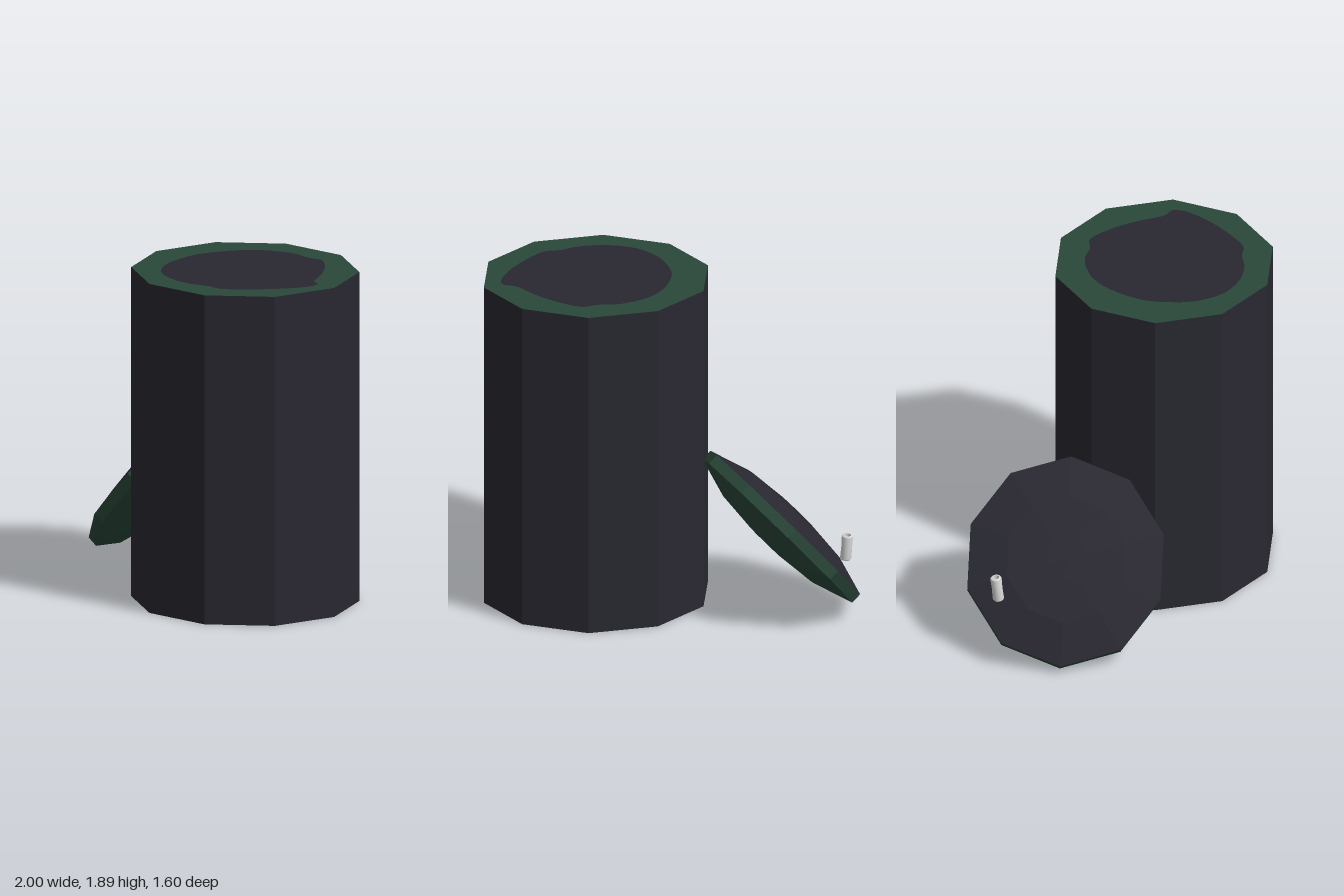
import * as THREE from 'three';

const mat = (name, color) => {
  const m = new THREE.MeshStandardMaterial({ color });
  m.name = name;
  return m;
};

// Separate the faces so that every facet gets its own normal
const faceted = (geometry) => {
  const g = geometry.index ? geometry.toNonIndexed() : geometry;
  g.computeVertexNormals();
  return g;
};

const lathe = (profile, sides) =>
  new THREE.LatheGeometry(profile.map(([r, y]) => new THREE.Vector2(r, y)), sides, Math.PI / 2);

export function createModel() {
  const dark = mat('dark charcoal', 0x292831);
  const green = mat('deep green', 0x2a4839);
  const base = mat('slate base', 0x56616c);
  const silver = mat('light grey', 0xdcdcdc);

  const model = new THREE.Group();
  model.name = 'canWithLid';
  const add = (parent, name, geometry, material) => {
    const mesh = new THREE.Mesh(geometry, material);
    mesh.name = name;
    parent.add(mesh);
    return mesh;
  };

  // Ten-sided can with a green top and a slate underside
  const height = 1.885;
  const can = add(model, 'canBody',
    faceted(new THREE.CylinderGeometry(0.644, 0.644, height, 10, 1, false, Math.PI / 2)),
    [dark, green, base]);
  can.scale.z = 0.963;
  can.position.set(0.355, height / 2, 0.21);

  // Irregular dark opening on the can top, outlined as x, z
  const outline = [
    [0.27, -0.22], [0.36, -0.23], [0.46, -0.21], [0.54, -0.22], [0.62, -0.16], [0.74, 0.0],
    [0.83, 0.18], [0.88, 0.21], [0.885, 0.27], [0.8, 0.41], [0.65, 0.56], [0.53, 0.64],
    [0.45, 0.635], [0.33, 0.66], [0.18, 0.64], [0.04, 0.56], [-0.05, 0.41], [-0.07, 0.27],
    [-0.06, 0.13], [0.02, -0.04], [0.13, -0.16],
  ].map(([x, z]) => new THREE.Vector3(x, -z, 0));
  const curve = new THREE.CatmullRomCurve3(outline, true);
  const shape = new THREE.Shape(curve.getPoints(84).slice(0, -1).map((p) => new THREE.Vector2(p.x, p.y)));
  const opening = add(model, 'canOpening', new THREE.ShapeGeometry(shape).rotateX(-Math.PI / 2), dark);
  opening.position.y = height + 0.003;

  // Lid leaning against the can: dark dome above, green rim and underside
  const lid = new THREE.Group();
  lid.name = 'lid';
  const slope = new THREE.Vector3(0.663, 0.749, 0).normalize();
  const normal = new THREE.Vector3(-0.745, 0.66, 0.1).normalize();
  const side = new THREE.Vector3().crossVectors(slope, normal).normalize();
  normal.crossVectors(side, slope);
  lid.quaternion.setFromRotationMatrix(new THREE.Matrix4().makeBasis(slope, normal, side));
  lid.position.set(-0.607, 0.497, -0.263);
  lid.scale.z = 0.952;
  model.add(lid);
  add(lid, 'lidTop', faceted(lathe([[0.592, 0], [0.36, 0.069], [0.12, 0.091], [0, 0.094]], 10)), dark);
  add(lid, 'lidUnderside', faceted(lathe(
    [[0, -0.158], [0.12, -0.155], [0.36, -0.133], [0.592, -0.064], [0.592, 0]], 10)), green);

  // Small hollow handle floating above the low edge of the lid
  const handle = add(model, 'lidHandle', lathe([
    [0.019, 0.074], [0.019, -0.074], [0.027, -0.074], [0.032, -0.066],
    [0.030, 0.0], [0.032, 0.066], [0.027, 0.074], [0.019, 0.074],
  ], 16), silver);
  handle.position.set(-0.863, 0.465, -0.625);
  handle.rotation.z = 0.05;
  handle.rotation.x = -0.1;

  return model;
}
